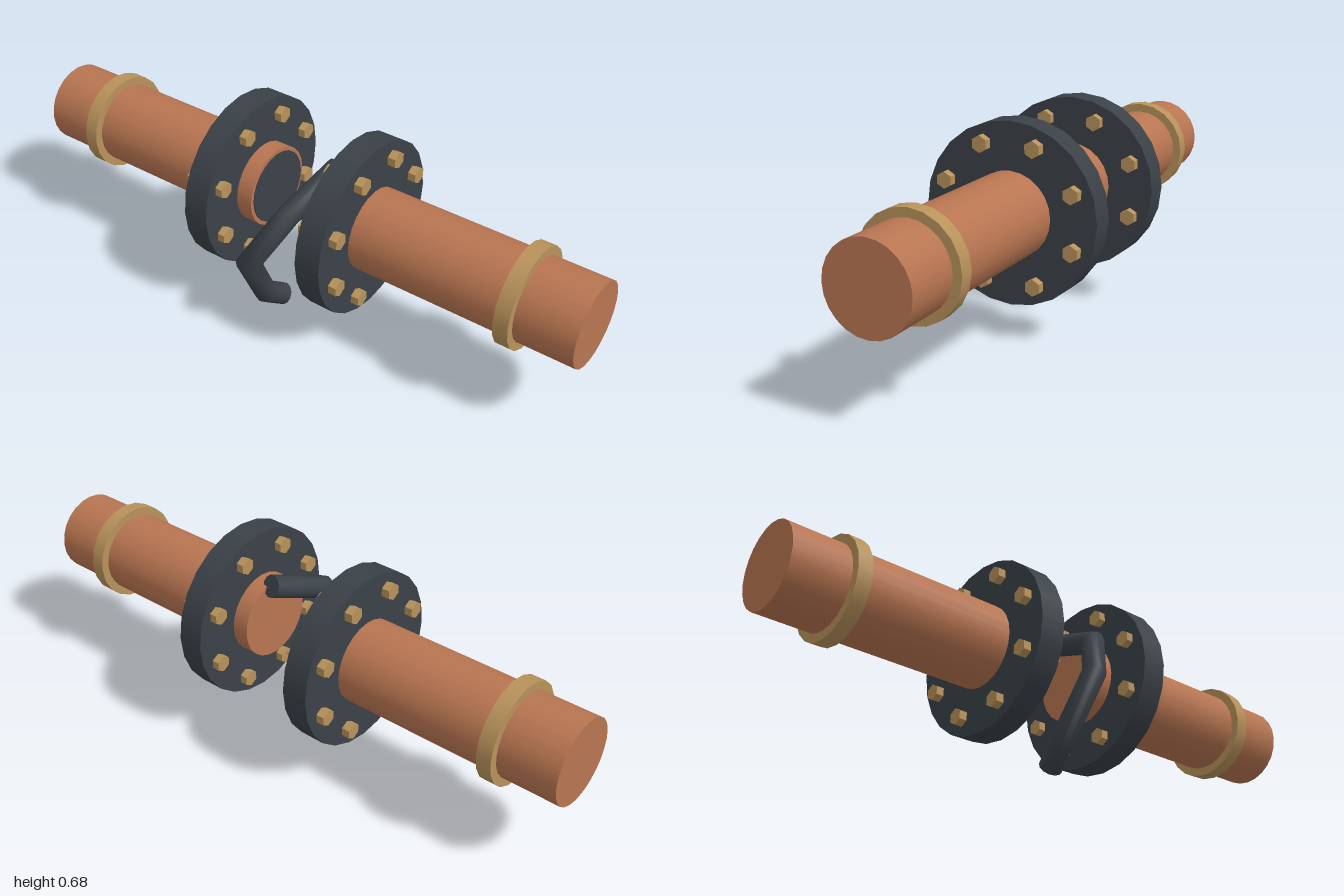
import * as THREE from 'three';

const AXIS_Y = 0.397, AXIS_Z = -0.008;

function material(name, color, extra = {}) {
  const m = new THREE.MeshStandardMaterial({ color, ...extra });
  m.name = name;
  return m;
}

// Cylinder lying along x, from x0 to x1, placed around the pipe axis
function rod(name, mat, radius, x0, x1, sides, y = 0, z = 0, start = 0) {
  let geo = new THREE.CylinderGeometry(radius, radius, x1 - x0, sides, 1, false, start);
  geo.rotateZ(Math.PI / 2);
  if (sides === 6) {
    geo = geo.toNonIndexed();
    geo.computeVertexNormals();
  }
  const mesh = new THREE.Mesh(geo, mat);
  mesh.name = name;
  mesh.position.set((x0 + x1) / 2, AXIS_Y + y, AXIS_Z + z);
  return mesh;
}

// Round bar along a kinked path, with mitred joints and flat ends
function bentBar(points, radius, sides) {
  const last = points.length - 1;
  const dirs = points.slice(1).map((p, i) => p.clone().sub(points[i]).normalize());
  const u = new THREE.Vector3(0, 1, 0).cross(dirs[0]).normalize();
  const v = dirs[0].clone().cross(u);
  let ring = [];
  for (let j = 0; j < sides; j++) {
    const a = (j / sides) * Math.PI * 2;
    ring.push(points[0].clone()
      .addScaledVector(u, radius * Math.cos(a))
      .addScaledVector(v, radius * Math.sin(a)));
  }
  const rings = [ring];
  for (let i = 0; i < last; i++) {
    const normal = dirs[i].clone().add(dirs[Math.min(i + 1, last - 1)]);
    ring = ring.map((p) => {
      const t = points[i + 1].clone().sub(p).dot(normal) / dirs[i].dot(normal);
      return p.clone().addScaledVector(dirs[i], t);
    });
    rings.push(ring);
  }
  const verts = rings.flat();
  const index = [];
  for (let i = 0; i < last; i++) {
    for (let j = 0; j < sides; j++) {
      const k = (j + 1) % sides;
      const a = i * sides + j, b = i * sides + k;
      index.push(a, b, a + sides, b, b + sides, a + sides);
    }
  }
  // End caps use their own vertices so the rims stay sharp
  for (const end of [0, last]) {
    const base = verts.length;
    verts.push(points[end], ...rings[end]);
    for (let j = 0; j < sides; j++) {
      const a = base + 1 + j, b = base + 1 + ((j + 1) % sides);
      if (end === 0) index.push(base, b, a);
      else index.push(base, a, b);
    }
  }
  const geo = new THREE.BufferGeometry().setFromPoints(verts);
  geo.setIndex(index);
  geo.computeVertexNormals();
  return geo;
}

export function createModel() {
  const model = new THREE.Group();
  model.name = 'flangedPipe';
  const copper = material('copper', 0xb87551);
  const brass = material('brass', 0xb8925a);
  const iron = material('darkIron', 0x3a4147);

  for (const side of [-1, 1]) {
    const half = new THREE.Group();
    half.name = side < 0 ? 'rightPipeHalf' : 'leftPipeHalf';
    const add = (name, mat, r, a, b, sides, ...rest) => half.add(
      rod(name, mat, r, Math.min(side * a, side * b), Math.max(side * a, side * b), sides, ...rest));

    add('pipe', copper, 0.135, 0.115, 1, 24);
    add('collar', brass, 0.163, 0.765, 0.813, 20);
    add('flange', iron, 0.286, 0.171, 0.257, 24);

    // Hexagonal bolts running through the flange
    for (let i = 0; i < 8; i++) {
      const a = ((i + 0.5) / 8) * Math.PI * 2;
      add('bolt', brass, 0.027, 0.146, 0.284, 6,
        0.229 * Math.sin(a), 0.229 * Math.cos(a), Math.PI / 6);
    }
    model.add(half);
  }

  // Dark bore plate on one open pipe end
  model.add(rod('bore', iron, 0.122, -0.117, -0.111, 24));

  // Loose bent bar between the flanges
  const path = [
    [0.097, 0.535, -0.045], [0.058, 0.455, 0.16], [-0.027, 0.29, 0.252],
    [-0.06, 0.078, 0.132], [-0.038, 0.034, 0.065],
  ].map((p) => new THREE.Vector3(...p));
  const bar = new THREE.Mesh(bentBar(path, 0.037, 12), iron);
  bar.name = 'bentBar';
  model.add(bar);

  return model;
}
